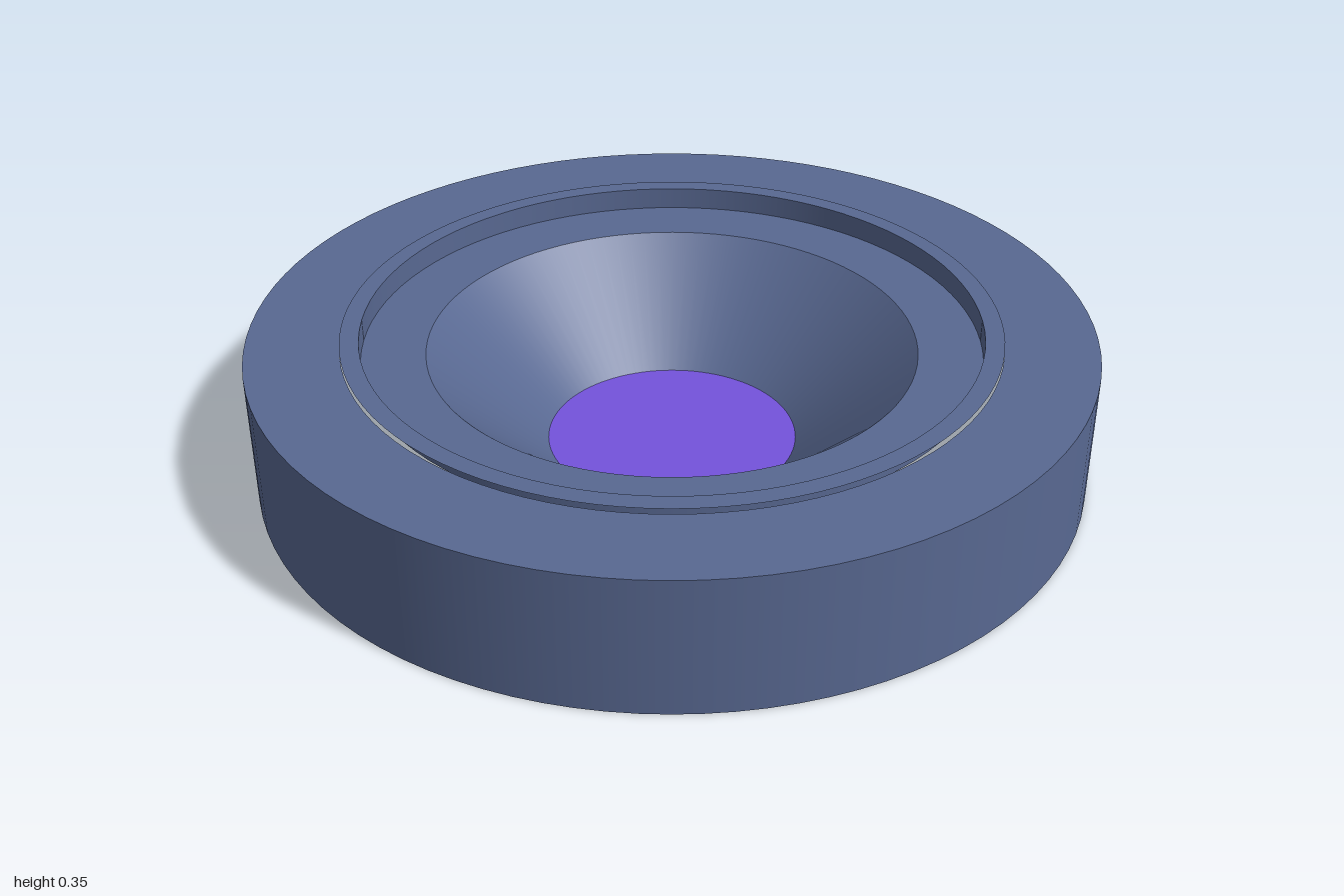
import * as THREE from 'three';

const SEGMENTS = 96;

export function createModel() {
  const group = new THREE.Group();
  group.name = 'roundDriver';

  const slate = new THREE.MeshStandardMaterial({ color: 0x586891, side: THREE.DoubleSide });
  slate.name = 'slate blue';
  const violet = new THREE.MeshStandardMaterial({ color: 0x7453dc, side: THREE.DoubleSide });
  violet.name = 'violet';

  // Thin surface of revolution between two [radius, height] points
  function band(name, from, to, material) {
    const points = [from, to].map(([r, y]) => new THREE.Vector2(r, y));
    const mesh = new THREE.Mesh(new THREE.LatheGeometry(points, SEGMENTS), material);
    mesh.name = name;
    group.add(mesh);
  }

  // Flat annulus facing up
  function annulus(name, inner, outer, y, material) {
    const geometry = inner > 0
      ? new THREE.RingGeometry(inner, outer, SEGMENTS)
      : new THREE.CircleGeometry(outer, SEGMENTS);
    geometry.rotateX(-Math.PI / 2);
    const mesh = new THREE.Mesh(geometry, material);
    mesh.name = name;
    mesh.position.y = y;
    group.add(mesh);
  }

  // Outer housing, open underneath
  band('housingWall', [1, 0], [1, 0.333], slate);
  annulus('housingTop', 0.78, 1, 0.333, slate);

  // Slightly raised lip with its inner wall and the recessed flange
  annulus('lip', 0.735, 0.78, 0.346, slate);
  band('lipWall', [0.735, 0.346], [0.735, 0.29], slate);
  annulus('flange', 0.583, 0.735, 0.29, slate);

  // Funnel that passes through the violet base disc
  band('funnel', [0.27, 0], [0.583, 0.29], slate);
  annulus('baseDisc', 0, 0.533, 0.03, violet);

  return group;
}
